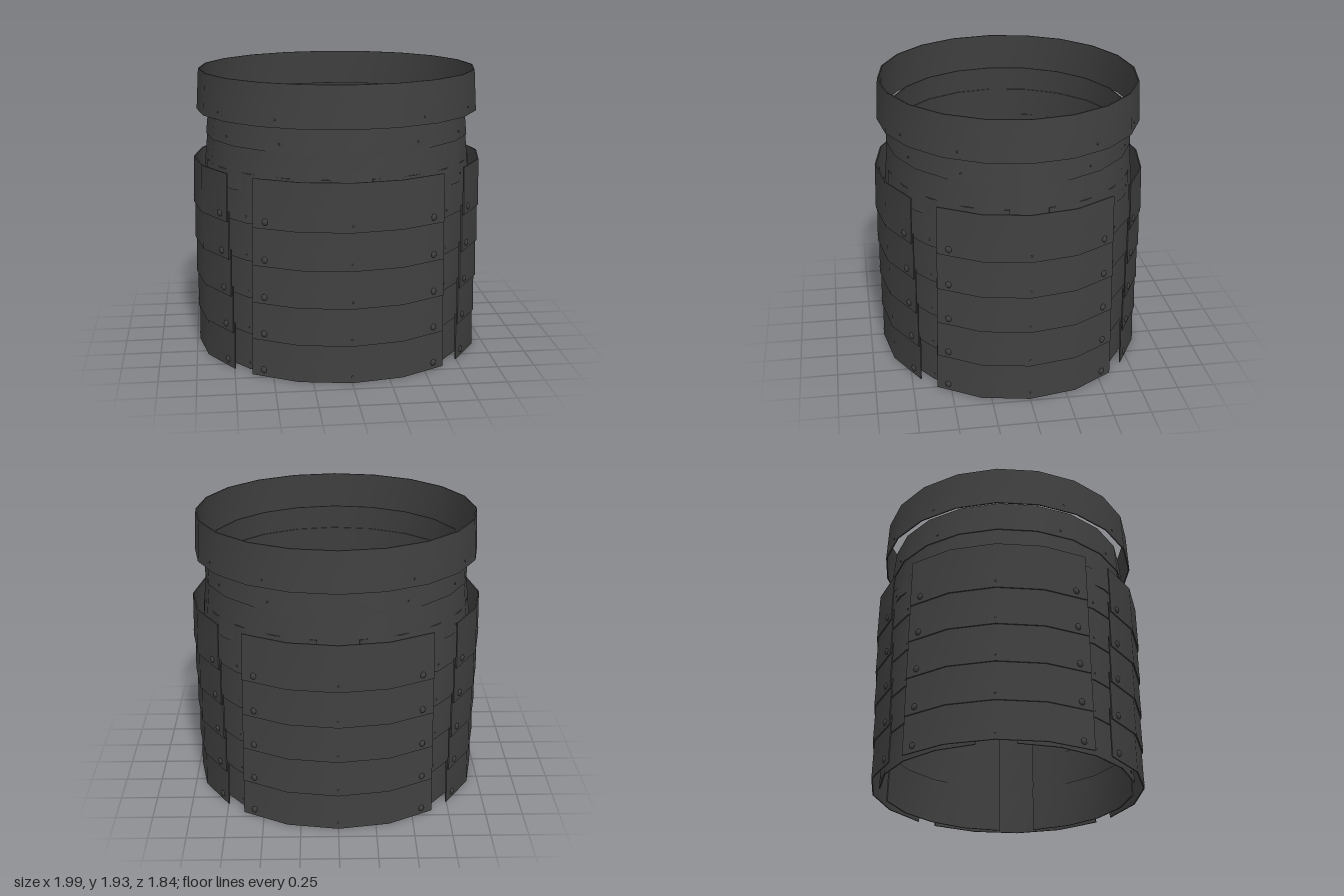
import * as THREE from 'three';
import { toCreasedNormals } from 'three/addons/utils/BufferGeometryUtils.js';

const DEPTH = 0.925; // depth of the oval relative to its width
const THICK = 0.009;
const rad = THREE.MathUtils.degToRad;

// Point on the oval; angle 0 is the front, 90 degrees is +x
const oval = (deg, r, y) => new THREE.Vector3(Math.sin(rad(deg)) * r, y, Math.cos(rad(deg)) * r * DEPTH);

// Curved thin sheet between two angles, closed all round when it spans 360
function bandGeometry(start, end, segments, y0, y1, r0, r1) {
  const profile = [[r0, y0], [r1, y1], [r1 - THICK, y1], [r0 - THICK, y0]];
  const pos = [];
  const quad = (a, b, c, d) => [a, b, c, a, c, d].forEach(p => pos.push(p.x, p.y, p.z));
  const section = deg => profile.map(([r, y]) => oval(deg, r, y));
  for (let i = 0; i < segments; i++) {
    const a = section(start + (end - start) * i / segments);
    const b = section(start + (end - start) * (i + 1) / segments);
    for (let k = 0; k < 4; k++) {
      const n = (k + 1) % 4;
      quad(a[k], b[k], b[n], a[n]);
    }
  }
  if (end - start < 360) {
    const s = section(start), e = section(end);
    quad(s[3], s[0], s[1], s[2]);
    quad(e[0], e[3], e[2], e[1]);
  }
  const g = new THREE.BufferGeometry();
  g.setAttribute('position', new THREE.Float32BufferAttribute(pos, 3));
  return toCreasedNormals(g, 0.6);
}

export function createModel() {
  const model = new THREE.Group();
  model.name = 'bandedArmour';
  const steel = new THREE.MeshStandardMaterial({ color: 0x404040 });
  steel.name = 'dark steel';

  const add = (parent, name, geometry) => {
    const mesh = new THREE.Mesh(geometry, steel);
    mesh.name = name;
    parent.add(mesh);
    return mesh;
  };

  const rivetGeometry = new THREE.SphereGeometry(1, 8, 6);
  function rivet(parent, deg, r, y, size) {
    const m = add(parent, 'rivet', rivetGeometry);
    m.position.copy(oval(deg, r, y));
    m.rotation.y = rad(deg);
    m.scale.set(size, size, size * 0.6);
  }

  // One plate of faceted sheet with rivets along its lower edge
  function plate(name, centre, span, y0, r0, r1, rivetSize) {
    const group = new THREE.Group();
    group.name = name;
    model.add(group);
    add(group, name + 'Sheet', bandGeometry(centre - span, centre + span, 4, y0, y0 + 0.32, r0, r1));
    const inset = 5, half = span / 4;
    const flat = r0 * Math.cos(rad(half)) / Math.cos(rad(half - inset));
    for (const side of [-1, 1]) {
      rivet(group, centre + side * (span - inset), flat, y0 + 0.045, rivetSize);
    }
    rivet(group, centre, r0 - 0.003, y0 + 0.045, 0.007);
  }

  // Upper hoops: collar, then two hoops stepping inside one another
  const hoops = [
    ['collarHoop', 1.665, 1.94, 0.957, 0.94],
    ['upperHoop', 1.5, 1.71, 0.897, 0.876],
    ['lowerHoop', 1.22, 1.54, 0.918, 0.886],
  ];
  for (const [name, y0, y1, r0, r1] of hoops) {
    add(model, name, bandGeometry(0, 360, 20, y0, y1, r0, r1));
    for (let q = 0; q < 4; q++) {
      for (const side of [-30, 30]) rivet(model, q * 90 + side, r0 * 0.986, y0 + 0.05, 0.007);
    }
  }

  // Five overlapping rows, each with four outer plates and four inner plates behind the gaps
  const sides = ['front', 'left', 'back', 'right'];
  for (let row = 0; row < 5; row++) {
    const y0 = 1.018 - row * 0.2525;
    const outer = 0.995 - row * 0.003;
    const inner = 0.93 - row * 0.003;
    sides.forEach((side, q) => {
      plate(side + 'Plate', q * 90, 38.4 + row * 0.5, y0, outer, outer - 0.009, 0.022);
      plate(side + 'InnerPlate', q * 90 + 45, 36.5, y0, inner, inner - (row ? 0.009 : 0.025), 0.01);
    });
  }
  return model;
}
